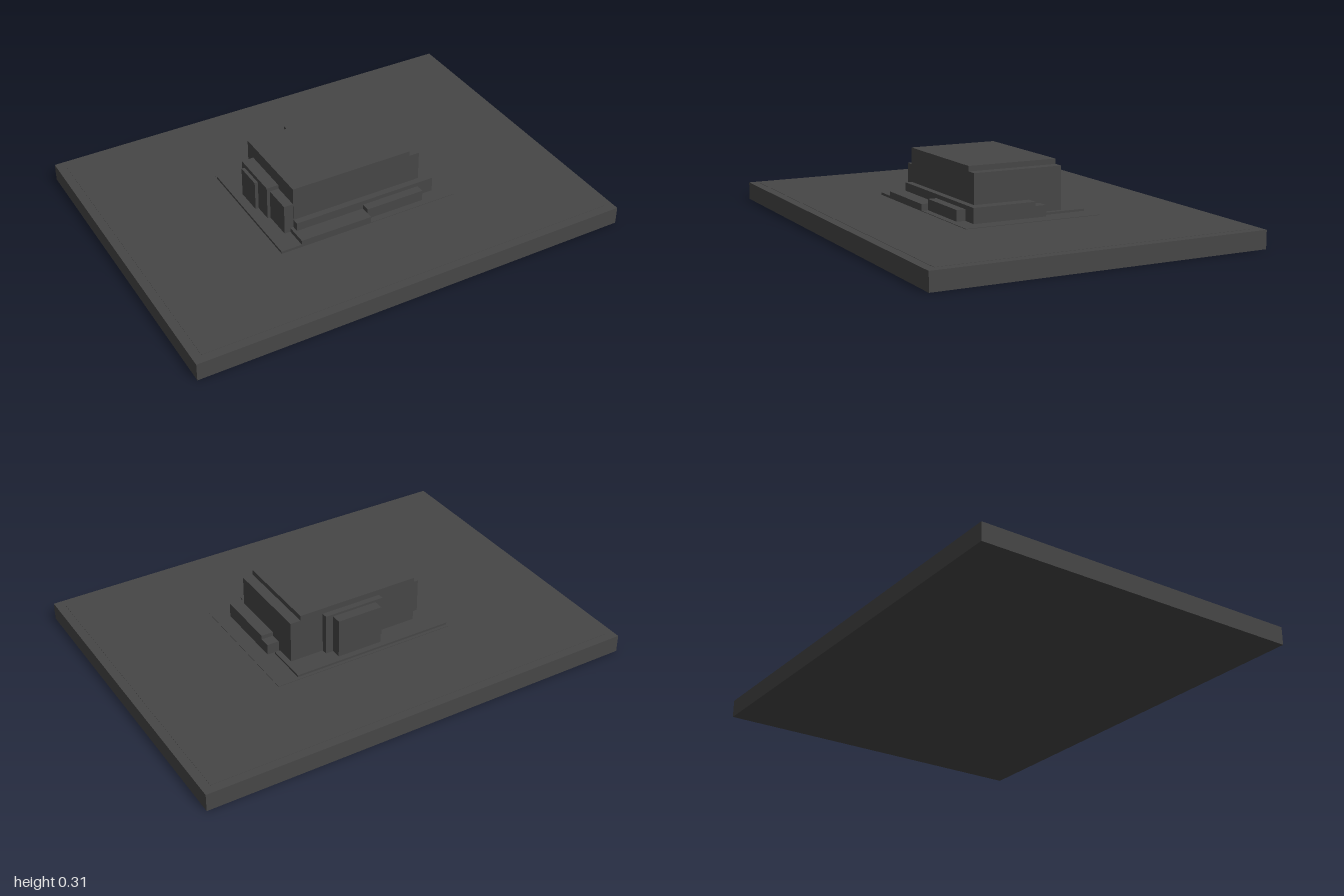
import * as THREE from 'three';

export function createModel() {
  const model = new THREE.Group();
  model.name = 'buildingOnBase';
  const charcoal = new THREE.MeshStandardMaterial({ color: 0x464646 });
  charcoal.name = 'charcoal';

  // Box given by its limits on each axis
  const block = (name, x0, x1, y0, y1, z0, z1) => {
    const mesh = new THREE.Mesh(new THREE.BoxGeometry(x1 - x0, y1 - y0, z1 - z0), charcoal);
    mesh.name = name;
    mesh.position.set((x0 + x1) / 2, (y0 + y1) / 2, (z0 + z1) / 2);
    model.add(mesh);
  };

  // Ground: base slab, inset lawn and the thin plot under the house
  const ground = 0.08;
  block('base', -1, 1, 0, ground, -0.75, 0.75);
  block('lawn', -0.96, 0.96, 0.07, 0.081, -0.71, 0.71);
  block('plot', -0.41, 0.44, 0.07, 0.083, -0.31, 0.32);

  // Everything else rises from the ground: name, x0, x1, top, z0, z1
  const parts = [
    // Terraces and steps
    ['sideTerrace', -0.41, -0.31, 0.092, -0.295, 0.32],
    ['backTerrace', -0.41, 0.34, 0.092, -0.295, -0.1],
    ['frontStep', -0.315, 0.02, 0.112, 0.2, 0.32],
    ['porchStep', 0.02, 0.295, 0.132, 0.2, 0.29],
    // Low wing wrapping the front and the left side
    ['lowWing', -0.3, 0.37, 0.15, -0.04, 0.25],
    ['lowWingEnd', 0.25, 0.37, 0.132, -0.09, -0.04],
    // Main volume with its raised roof
    ['mainBlock', -0.3, 0.315, 0.283, -0.195, 0.22],
    ['raisedRoof', -0.3, 0.267, 0.306, -0.195, 0.22],
    // Back bays
    ['backBay', -0.12, 0.16, 0.28, -0.222, -0.15],
    ['backBayOuter', -0.085, 0.125, 0.27, -0.268, -0.15],
    // Right-hand bays
    ['sideBayFront', -0.342, -0.25, 0.23, 0.09, 0.218],
    ['sideBay', -0.355, -0.25, 0.247, -0.145, 0.088],
    ['sideBayOuter', -0.37, -0.25, 0.228, -0.12, 0.005],
  ];
  for (const [name, x0, x1, top, z0, z1] of parts) block(name, x0, x1, 0.075, top, z0, z1);

  return model;
}
